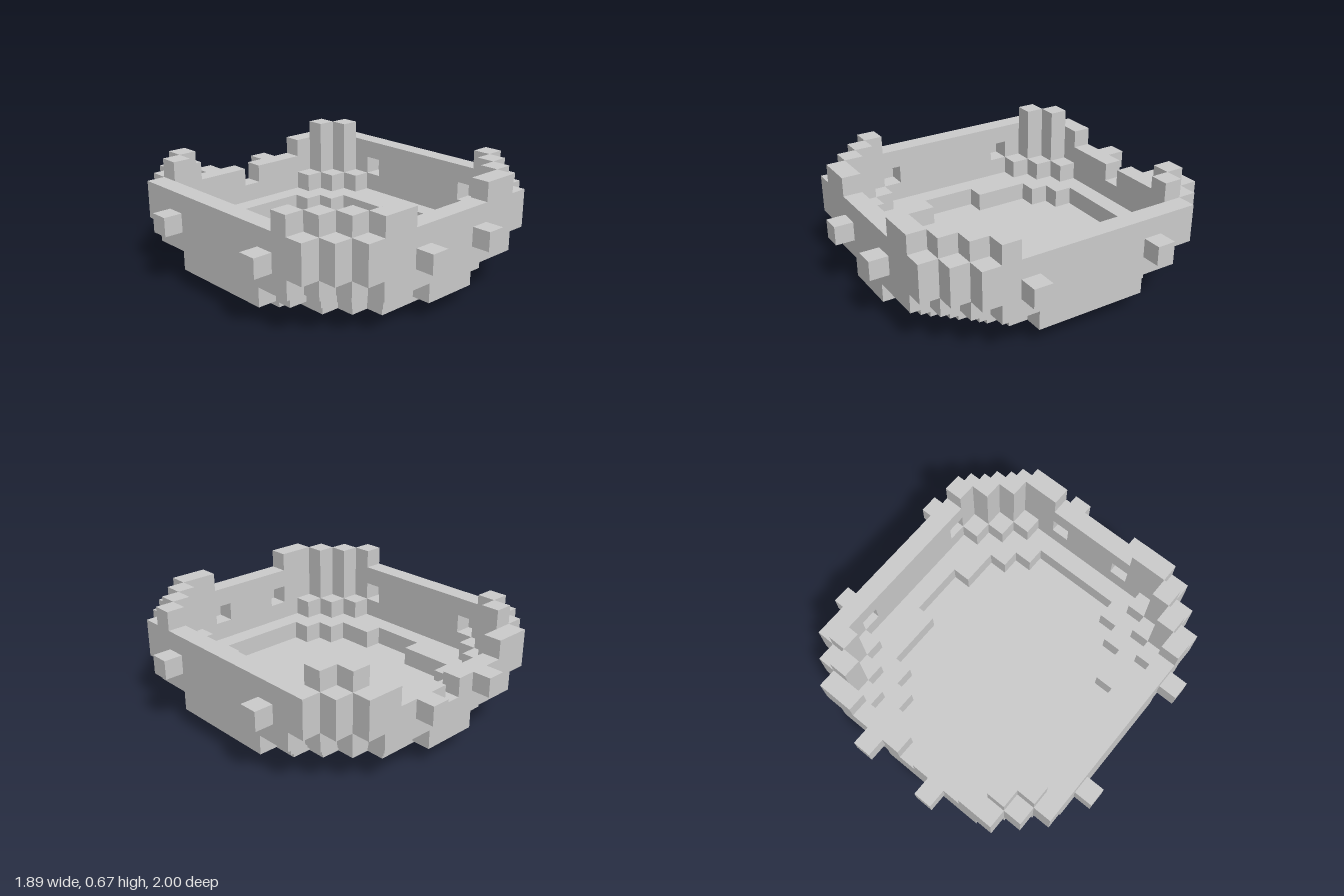
import * as THREE from 'three';
import { mergeGeometries } from 'three/addons/utils/BufferGeometryUtils.js';

const U = 2 / 18;          // edge length of one block
const ROWS = 18;           // blocks along z; x is counted from the centre column

// Half widths (in blocks from the centre column) of each row, back to front; -1 is empty.
const fill = (start, widths) => {
  const rows = new Array(ROWS).fill(-1);
  widths.forEach((w, i) => { rows[start + i] = w; });
  return rows;
};
// Rows that taper the same way at both ends
const taper = (start, ends, middle) => {
  const count = ROWS - 2 * start - 2 * ends.length;
  return fill(start, [...ends, ...new Array(count).fill(middle), ...[...ends].reverse()]);
};

const baseRows = fill(3, [2, 3, 4, 5, 5, 5, 5, 5, 4, 4, 3, 2]);
const pitRows = fill(3, [2, 3, 4, 4, 4, 5, 5, 5, 4, 4, 3, 2]);
const floorRows = taper(1, [1, 3, 4, 5, 6], 7);
const lowerRows = taper(1, [4, 5, 6], 7);
const lowerHole = taper(2, [3, 4, 5], 6);
const wallRows = taper(1, [5, 6], 7);
const wallHole = taper(2, [4, 5], 6);

const blocks = new Map();
const key = (x, y, z) => `${x},${y},${z}`;
const add = (part, x, y, z) => blocks.set(key(x, y, z), { part, x, y, z });
const remove = (x, y, z) => blocks.delete(key(x, y, z));

function addLayer(part, y, outer, inner = fill(0, [])) {
  for (let z = 0; z < ROWS; z++) {
    for (let x = -outer[z]; x <= outer[z]; x++) {
      if (Math.abs(x) > inner[z]) add(part, x, y, z);
    }
  }
}

function layBlocks() {
  blocks.clear();
  addLayer('base', 0, baseRows);
  addLayer('floorLedge', 1, floorRows, pitRows);
  addLayer('lowerWall', 2, lowerRows, lowerHole);
  addLayer('upperWall', 3, wallRows, wallHole);
  addLayer('upperWall', 4, wallRows, wallHole);

  // Stepped dip in the back wall
  for (let x = -3; x <= 3; x++) remove(x, 4, 1);
  remove(0, 3, 1);

  for (const s of [-1, 1]) {
    // Raised corners of the rim
    for (const [x, z] of [[3, 16], [4, 16], [5, 15], [6, 14], [7, 13]]) add('frontRimCorners', s * x, 5, z);
    for (const [x, z] of [[5, 2], [6, 3]]) add('backRimCorners', s * x, 5, z);

    // Studs, with a hollow behind those on the front and the sides
    add('studs', s * 2, 3, 0);
    add('studs', s * 2, 3, 17);
    remove(s * 2, 3, 16);
    for (const z of [5, 12]) {
      add('studs', s * 8, 3, z);
      remove(s * 7, 3, z);
    }
  }
}

// One square per side of a block, facing outwards
const sides = [
  [1, 0, 0], [-1, 0, 0], [0, 1, 0], [0, -1, 0], [0, 0, 1], [0, 0, -1],
].map(([x, y, z]) => {
  const square = new THREE.PlaneGeometry(U, U);
  if (x) square.rotateY(x * Math.PI / 2);
  if (y) square.rotateX(-y * Math.PI / 2);
  if (z < 0) square.rotateY(Math.PI);
  square.translate(x * U / 2, y * U / 2, z * U / 2);
  return { x, y, z, square };
});

export function createModel() {
  layBlocks();

  // Keep only the block sides that are not covered by a neighbour
  const parts = {};
  for (const b of blocks.values()) {
    for (const s of sides) {
      if (blocks.has(key(b.x + s.x, b.y + s.y, b.z + s.z))) continue;
      const face = s.square.clone().translate(b.x * U, (b.y + 0.5) * U, (b.z - 8.5) * U);
      (parts[b.part] ??= []).push(face);
    }
  }

  const model = new THREE.Group();
  model.name = 'blockHull';
  const material = new THREE.MeshStandardMaterial({ color: 0xcccccc, flatShading: true });
  for (const [name, faces] of Object.entries(parts)) {
    const mesh = new THREE.Mesh(mergeGeometries(faces), material);
    mesh.name = name;
    model.add(mesh);
  }
  return model;
}
